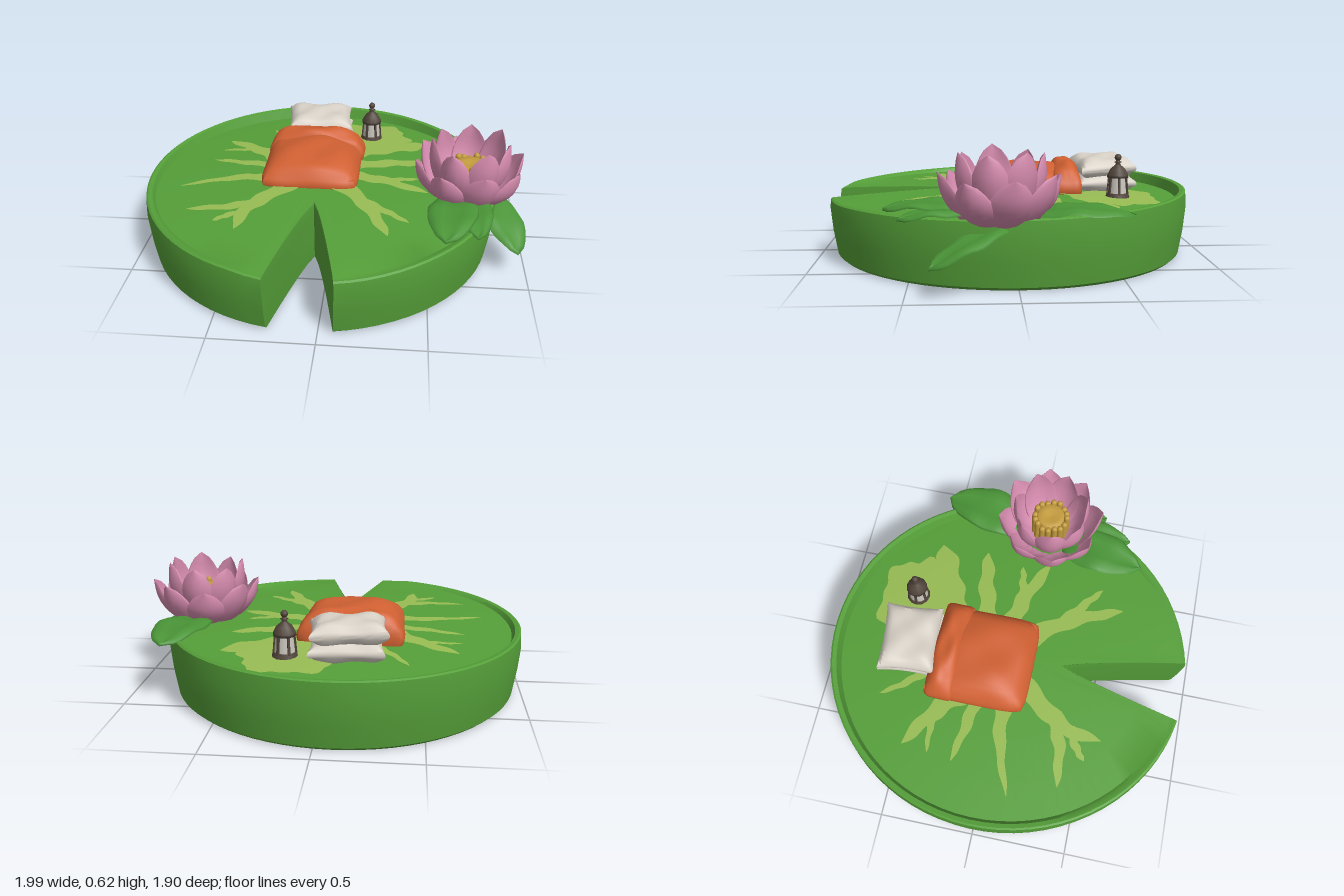
import * as THREE from 'three';
import { mergeVertices, toCreasedNormals } from 'three/addons/utils/BufferGeometryUtils.js';

const mat = (name, color, side = THREE.FrontSide) => {
  const m = new THREE.MeshStandardMaterial({ color, side });
  m.name = name;
  return m;
};
const V = (x, y, z) => new THREE.Vector3(x, y, z);
const CX = -0.08; // pad centre on x

const floorY = (x, z) => 0.325 - 0.04 * ((x - CX) ** 2 + z * z) + 0.012 * z;

// Surface over a grid: fn(u, v) -> Vector3, with u and v in 0..1
function sheet(nu, nv, fn) {
  const pos = [], idx = [];
  for (let i = 0; i <= nu; i++) for (let j = 0; j <= nv; j++) pos.push(...fn(i / nu, j / nv).toArray());
  for (let i = 0; i < nu; i++) for (let j = 0; j < nv; j++) {
    const a = i * (nv + 1) + j, b = a + nv + 1;
    idx.push(a, a + 1, b + 1, a, b + 1, b);
  }
  const g = new THREE.BufferGeometry();
  g.setAttribute('position', new THREE.Float32BufferAttribute(pos, 3));
  g.setIndex(idx);
  g.computeVertexNormals();
  return g;
}

// Round pad with a wedge notch at the front, raised rim and low domed floor
function padGeometry() {
  const outline = [];
  const a0 = 0.168, a1 = Math.PI * 2 - 0.18, n = 72;
  for (let i = 0; i <= n; i++) {
    const a = a0 + (a1 - a0) * i / n, s = Math.sin(a), c = Math.cos(a);
    const w = THREE.MathUtils.smoothstep(Math.min((a - a0) / 0.6, (a1 - a) / 0.2), 0, 1);
    outline.push([(s > 0 ? 0.935 : 0.92) * s, (c > 0 ? 0.962 : 0.947) * c, w]);
  }
  const left = outline[n], right = outline[0];
  for (let i = 1; i <= 16; i++) {
    const t = i / 8 - 1, [ex, ez] = t < 0 ? left : right, k = Math.abs(t);
    outline.push([ex * k ** 0.82, 0.31 + (ez - 0.31) * k, 0]);
  }
  // Each ring: scale, then height from the floor and rim heights
  const rings = [
    [0.002, () => 0], [0.95, () => 0], [0.968, () => 0.015], [0.988, () => 0.13], [1, () => 0.25],
    [0.995, (f, r) => r - 0.006], [0.985, (f, r) => r], [0.962, (f, r) => r - 0.004], [0.945, f => f],
    [0.75, f => f], [0.5, f => f], [0.25, f => f], [0.002, f => f],
  ];
  const g = sheet(rings.length - 1, outline.length - 1, (u, v) => {
    const [s, h] = rings[Math.round(u * (rings.length - 1))];
    const [ox, oz, w] = outline[Math.round(v * (outline.length - 1))];
    const x = CX + ox * s, z = oz * s, f = floorY(x, z);
    return V(x, h(f, THREE.MathUtils.lerp(f, 0.327 - 0.015 * oz, w)), z);
  });
  return toCreasedNormals(g, 0.6);
}

// Puffed cushion sitting on y = 0; pinch > 0 draws in the sides, pinch < 0 rounds the corners
function cushion(w, h, d, { edge, wrinkle, seed, pinch, power = 4, flat = false }) {
  let g = new THREE.BoxGeometry(2, 2, 2, 16, 4, 16);
  g.deleteAttribute('uv');
  g.deleteAttribute('normal');
  g = mergeVertices(g);
  const p = g.attributes.position;
  for (let i = 0; i < p.count; i++) {
    const u = p.getX(i), y = p.getY(i), v = p.getZ(i);
    const puff = edge + (1 - edge) * ((1 - Math.abs(u) ** power) * (1 - Math.abs(v) ** power)) ** 0.5;
    const wave = puff * (1 + wrinkle * Math.sin(u * 5 + seed) * Math.cos(v * 4 + seed * 2));
    const draw = pinch > 0 ? [1 - pinch * (1 - v * v), 1 - pinch * (1 - u * u)] : [1 + pinch * v ** 6, 1 + pinch * u ** 6];
    const bulge = 1 - 0.04 * y * y;
    const height = flat ? (y * 0.5 + 0.5) * wave : y * wave * 0.5 + 0.5;
    p.setXYZ(i, u * draw[0] * bulge * w / 2, height * h, v * draw[1] * bulge * d / 2);
  }
  g.computeVertexNormals();
  return toCreasedNormals(g, 0.7);
}

// Closed cupped petal leaning out at an angle; profile holds [radius, height]
function petal(profile, width, angle) {
  const path = new THREE.CatmullRomCurve3(profile.map(([r, y]) => V(r, y, 0)));
  return sheet(12, 16, (u, v) => {
    const c = path.getPoint(u), t = path.getTangent(u), a = v * Math.PI * 2, s = Math.cos(a);
    const shape = Math.sin(Math.PI * (0.1 + 0.9 * u ** 1.25)) ** 0.65;
    const w = width * shape, thick = 0.012 * shape * Math.sin(a);
    return V(c.x - 0.45 * w * s * s + t.y * thick, c.y + 0.1 * w * s * s - t.x * thick, w * s)
      .applyAxisAngle(V(0, 1, 0), angle);
  });
}

// Closed pointed leaf folded along its midrib
function leaf(base, mid, tip, width) {
  const path = new THREE.QuadraticBezierCurve3(V(...base), V(...mid), V(...tip));
  const side = V(...tip).sub(V(...base)).cross(V(0, 1, 0)).normalize();
  return sheet(14, 16, (u, v) => {
    const a = v * Math.PI * 2, s = Math.cos(a);
    const shape = Math.sin(Math.PI * (0.06 + 0.94 * u)) ** 0.55;
    const c = path.getPoint(u).addScaledVector(side, s * width * shape);
    c.y += 0.03 * (Math.abs(s) - s ** 4) + 0.006 * Math.sin(u * 16) * s - 0.012 * shape * Math.sin(a);
    return c;
  });
}

// Tapered streak draped on the pad floor, with a ragged edge
function streak(points, w0, w1) {
  const path = new THREE.CatmullRomCurve3(points.map(([x, z]) => V(x, 0, z)));
  return sheet(24, 4, (u, v) => {
    const c = path.getPoint(u), t = path.getTangent(u), s = v * 2 - 1;
    const w = (w0 + (w1 - w0) * u ** 0.6) * (1 + 0.2 * Math.sin(u * 17 + s)) * (1 - u ** 10);
    const x = c.x - t.z * s * w, z = c.z + t.x * s * w;
    return V(x, floorY(x, z) + 0.004, z);
  });
}

export function createModel() {
  const model = new THREE.Group();
  const green = mat('pad green', 0x559f39);
  const leafGreen = mat('leaf green', 0x4a9437);
  const lime = mat('vein lime', 0x98bc53, THREE.DoubleSide);
  const pink = mat('petal pink', 0xd58bae);
  const gold = mat('stamen gold', 0xc59d3f);
  const orange = mat('blanket orange', 0xd06032);
  const linen = mat('pillow linen', 0xd8d1c7);
  const iron = mat('lantern iron', 0x51453b);
  const glass = mat('lantern glass', 0xc9c5bd);
  const add = (name, geo, material, x = 0, y = 0, z = 0, parent = model) => {
    const m = new THREE.Mesh(geo, material);
    m.name = name;
    m.position.set(x, y, z);
    parent.add(m);
    return m;
  };

  add('lilyPad', padGeometry(), green);

  // Pale veins: path points, start half-width, end half-width
  [
    [[[-0.2, 0.06], [-0.32, 0.24], [-0.41, 0.38], [-0.44, 0.57]], 0.07, 0.03],
    [[[-0.34, 0.3], [-0.5, 0.36], [-0.72, 0.39]], 0.05, 0.02],
    [[[-0.4, 0.4], [-0.5, 0.45], [-0.56, 0.5]], 0.03, 0.015],
    [[[-0.3, 0.03], [-0.55, 0.06], [-0.82, 0.15]], 0.06, 0.012],
    [[[-0.3, -0.1], [-0.5, -0.13], [-0.7, -0.17]], 0.05, 0.015],
    [[[-0.3, -0.16], [-0.45, -0.3], [-0.66, -0.44]], 0.07, 0.03],
    [[[-0.45, -0.3], [-0.55, -0.31], [-0.68, -0.3]], 0.03, 0.01],
    [[[-0.25, -0.4], [-0.34, -0.5], [-0.42, -0.62]], 0.03, 0.012],
    [[[0.02, 0.08], [0.16, 0.26], [0.24, 0.42], [0.3, 0.57]], 0.06, 0.025],
    [[[0.17, 0.26], [0.3, 0.36], [0.4, 0.44]], 0.035, 0.015],
    [[[0.06, -0.02], [0.25, 0.02], [0.5, 0.13]], 0.06, 0.03],
    [[[0.25, 0.02], [0.35, 0.0], [0.45, -0.02]], 0.03, 0.015],
    [[[0.06, -0.13], [0.28, -0.19], [0.5, -0.23]], 0.055, 0.035],
    [[[0.05, -0.28], [0.2, -0.37], [0.36, -0.43], [0.5, -0.49]], 0.08, 0.06],
  ].forEach(([pts, w0, w1]) => add('paleVein', streak(pts, w0, w1), lime));
  // Broad pale patch around the lantern
  add('palePatch', sheet(5, 60, (u, v) => {
    const a = v * Math.PI * 2, r = u * (1 + 0.1 * Math.sin(a * 5) + 0.05 * Math.sin(a * 11));
    const x = 0.15 + 0.24 * r * Math.cos(a), z = -0.57 + 0.19 * r * Math.sin(a);
    return V(x, floorY(x, z) + 0.006, z);
  }), lime);

  // Bed: blanket with folded-over top, and stacked pillows
  const bed = new THREE.Group();
  bed.name = 'bed';
  model.add(bed);
  const cloth = { edge: 0.42, wrinkle: 0.07, pinch: -0.07, power: 2.4, flat: true };
  add('blanket', cushion(0.52, 0.155, 0.53, { ...cloth, seed: 1 }), orange, -0.13, 0.3, -0.115, bed);
  add('blanketFold', cushion(0.54, 0.175, 0.17, { ...cloth, seed: 2 }), orange, -0.125, 0.302, -0.3, bed).rotation.y = -0.03;
  const down = { edge: 0.3, wrinkle: 0.14, pinch: 0.07 };
  add('lowerPillow', cushion(0.36, 0.11, 0.31, { ...down, seed: 3 }), linen, -0.12, 0.3, -0.51, bed).rotation.y = 0.06;
  const upper = add('upperPillow', cushion(0.37, 0.12, 0.3, { ...down, seed: 5 }), linen, -0.13, 0.375, -0.51, bed);
  upper.rotation.set(0.05, 0.1, -0.03);

  // Lantern
  const lantern = new THREE.Group();
  lantern.name = 'lantern';
  lantern.position.set(0.17, 0.305, -0.55);
  model.add(lantern);
  add('lanternBase', new THREE.CylinderGeometry(0.056, 0.064, 0.025, 12), iron, 0, 0.0125, 0, lantern);
  add('lanternGlass', new THREE.CylinderGeometry(0.042, 0.052, 0.1, 12), glass, 0, 0.07, 0, lantern);
  for (let i = 0; i < 6; i++) {
    const pivot = new THREE.Group();
    pivot.name = 'lanternPostPivot';
    pivot.rotation.y = i * Math.PI / 3;
    lantern.add(pivot);
    add('lanternPost', new THREE.BoxGeometry(0.01, 0.105, 0.012), iron, 0.049, 0.07, 0, pivot).rotation.z = 0.09;
  }
  const roof = [[0, 0.105], [0.056, 0.105], [0.054, 0.12], [0.038, 0.15], [0.016, 0.168], [0.01, 0.18], [0.02, 0.184], [0.01, 0.19], [0.008, 0.2]];
  add('lanternRoof', new THREE.LatheGeometry(roof.map(p => new THREE.Vector2(...p)), 12), iron, 0, 0, 0, lantern);
  add('lanternKnob', new THREE.SphereGeometry(0.018, 12, 8), iron, 0, 0.209, 0, lantern);

  // Water lily flower
  const flower = new THREE.Group();
  flower.name = 'flower';
  flower.position.set(0.7, 0.27, 0.08);
  model.add(flower);
  const layers = [
    [8, 0.2, 0.11, [[0.03, 0.0], [0.16, 0.035], [0.25, 0.13], [0.285, 0.245]]],
    [7, 0.6, 0.095, [[0.03, 0.03], [0.14, 0.09], [0.195, 0.21], [0.2, 0.34]]],
  ];
  layers.forEach(([count, start, width, profile], k) => {
    for (let i = 0; i < count; i++) {
      const dy = 0.014 * Math.sin(i * 2.4 + k);
      const pts = profile.map(([r, y], j) => [r, y + (j > 1 ? dy : 0)]);
      add(k ? 'innerPetal' : 'outerPetal', petal(pts, width, start + i * Math.PI * 2 / count), pink, 0, 0, 0, flower);
    }
  });
  // Golden centre: a disc inside a ring of stamens
  const core = [[0.04, 0.02], [0.07, 0.1], [0.08, 0.19], [0.07, 0.21], [0.04, 0.205], [0, 0.2]];
  add('flowerCore', new THREE.LatheGeometry(core.map(p => new THREE.Vector2(...p)), 20), gold, 0.01, 0, 0, flower);
  for (let i = 0; i < 16; i++) {
    const a = i * Math.PI / 8;
    add('stamen', new THREE.CapsuleGeometry(0.017, 0.14, 3, 8), gold,
      0.01 + 0.088 * Math.cos(a), 0.13 + 0.012 * Math.sin(i * 2), 0.088 * Math.sin(a), flower);
  }

  // Leaves around the flower
  [
    [[0.7, 0.31, -0.05], [0.76, 0.38, -0.25], [0.79, 0.32, -0.52], 0.135],
    [[0.64, 0.31, 0.18], [0.62, 0.39, 0.36], [0.57, 0.32, 0.62], 0.125],
    [[0.7, 0.3, 0.16], [0.72, 0.37, 0.3], [0.73, 0.3, 0.54], 0.095],
    [[0.76, 0.28, 0.04], [0.9, 0.26, 0.2], [0.95, 0.13, 0.39], 0.105],
  ].forEach(([a, b, c, w]) => add('leaf', leaf(a, b, c, w), leafGreen));

  return model;
}
